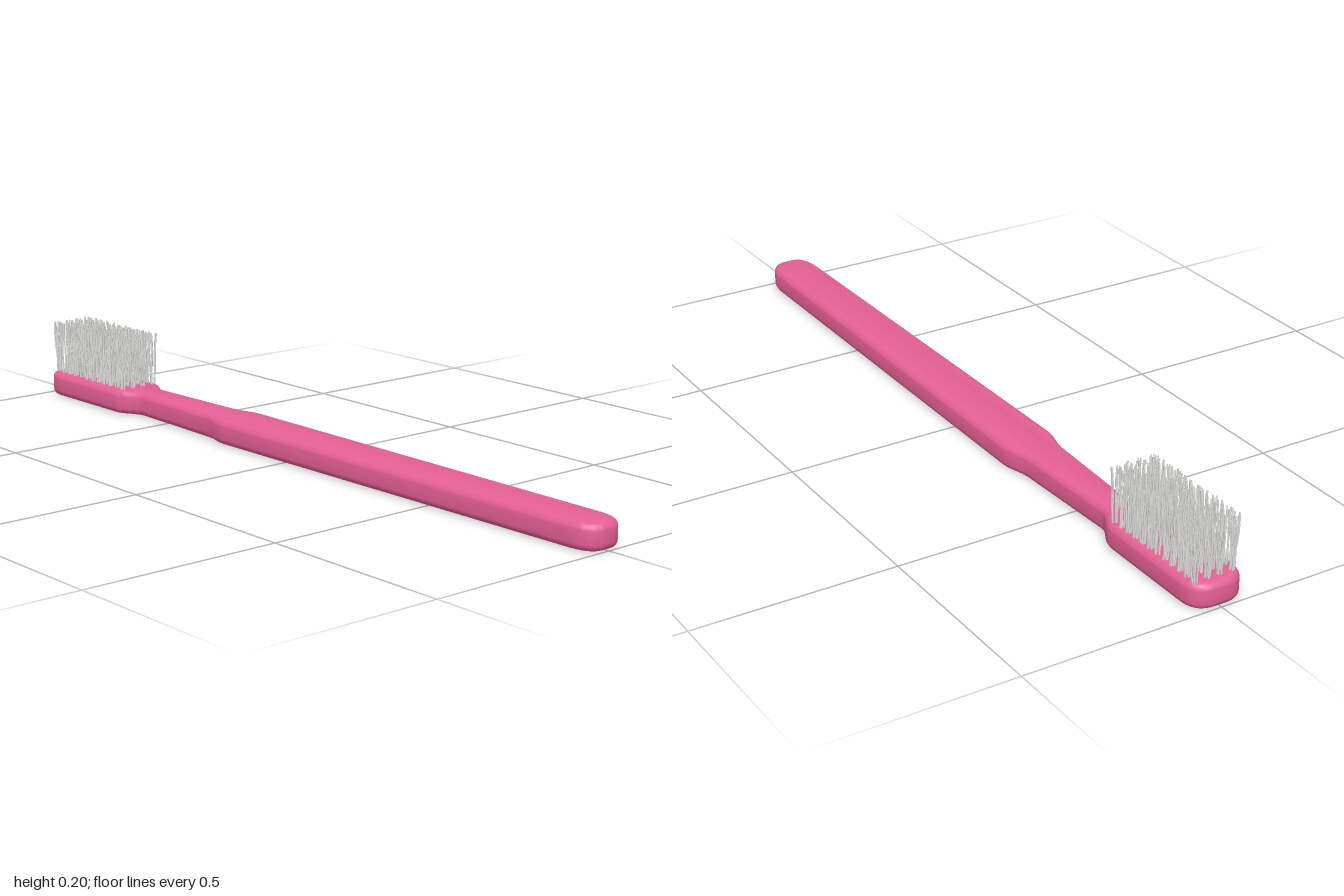
import * as THREE from 'three';
import { mergeGeometries, toCreasedNormals } from 'three/addons/utils/BufferGeometryUtils.js';

const HEIGHT = 0.063, BEVEL = 0.016;

// Small seeded generator for the scatter of the strands
function seeded(seed) {
  return () => {
    seed = (seed * 16807) % 2147483647;
    return seed / 2147483647;
  };
}

// Plan of head, neck and grip, mirrored about the long axis
function bodyOutline() {
  const s = new THREE.Shape();
  s.moveTo(-1, -0.02);
  s.quadraticCurveTo(-0.995, -0.07, -0.94, -0.07);
  s.lineTo(-0.69, -0.07);
  s.bezierCurveTo(-0.65, -0.07, -0.64, -0.04, -0.6, -0.039);
  s.lineTo(-0.32, -0.05);
  s.bezierCurveTo(-0.28, -0.053, -0.27, -0.066, -0.23, -0.067);
  s.lineTo(0.93, -0.058);
  s.quadraticCurveTo(0.995, -0.056, 1, -0.015);
  s.lineTo(1, 0.015);
  s.quadraticCurveTo(0.995, 0.056, 0.93, 0.058);
  s.lineTo(-0.23, 0.067);
  s.bezierCurveTo(-0.27, 0.066, -0.28, 0.053, -0.32, 0.05);
  s.lineTo(-0.6, 0.039);
  s.bezierCurveTo(-0.64, 0.04, -0.65, 0.07, -0.69, 0.07);
  s.lineTo(-0.94, 0.07);
  s.quadraticCurveTo(-0.995, 0.07, -1, 0.02);
  s.closePath();
  return s;
}

// One thin, slightly kinked strand between two points
function strand(base, tip, rand) {
  const points = [0, 0.25, 0.5, 0.75, 1].map((t) => {
    const p = base.clone().lerp(tip, t);
    if (t > 0 && t < 1) p.add(new THREE.Vector3(rand() - 0.5, 0, rand() - 0.5).multiplyScalar(0.007));
    return p;
  });
  return new THREE.TubeGeometry(new THREE.CatmullRomCurve3(points), 6, 0.0021, 5);
}

export function createModel() {
  const group = new THREE.Group();
  const pink = new THREE.MeshStandardMaterial({ color: 0xe66096 });
  pink.name = 'pink plastic';
  const white = new THREE.MeshStandardMaterial({ color: 0xe4e4e2, side: THREE.DoubleSide });
  white.name = 'white bristle';

  // Body with rounded edges
  const bodyGeometry = new THREE.ExtrudeGeometry(bodyOutline(), {
    depth: HEIGHT - 2 * BEVEL, bevelThickness: BEVEL, bevelSize: BEVEL,
    bevelOffset: -BEVEL, bevelSegments: 4, curveSegments: 10,
  });
  bodyGeometry.translate(0, 0, BEVEL).rotateX(-Math.PI / 2);
  const body = new THREE.Mesh(toCreasedNormals(bodyGeometry, 0.7), pink);
  body.name = 'handleAndHead';
  group.add(body);

  // Rows of tufts, each a bundle of strands that spreads towards the top
  const rand = seeded(41);
  const rows = [-0.051, -0.019, 0.013, 0.046];
  rows.forEach((z, row) => {
    const strands = [];
    for (let i = 0; i < 12; i++) {
      const x = -0.97 + i * 0.0268;
      for (let k = 0; k < 6; k++) {
        const a = (k / 6) * Math.PI * 2 + rand();
        const spread = 0.005 + rand() * 0.007;
        const base = new THREE.Vector3(x + Math.cos(a) * 0.005, HEIGHT - 0.004, z + Math.sin(a) * 0.005);
        const tip = new THREE.Vector3(x + Math.cos(a) * spread, 0.2 - rand() * 0.002, z + Math.sin(a) * spread);
        strands.push(strand(base, tip, rand));
      }
    }
    const bristles = new THREE.Mesh(mergeGeometries(strands), white);
    bristles.name = `bristleRow${row + 1}`;
    group.add(bristles);
  });

  return group;
}
